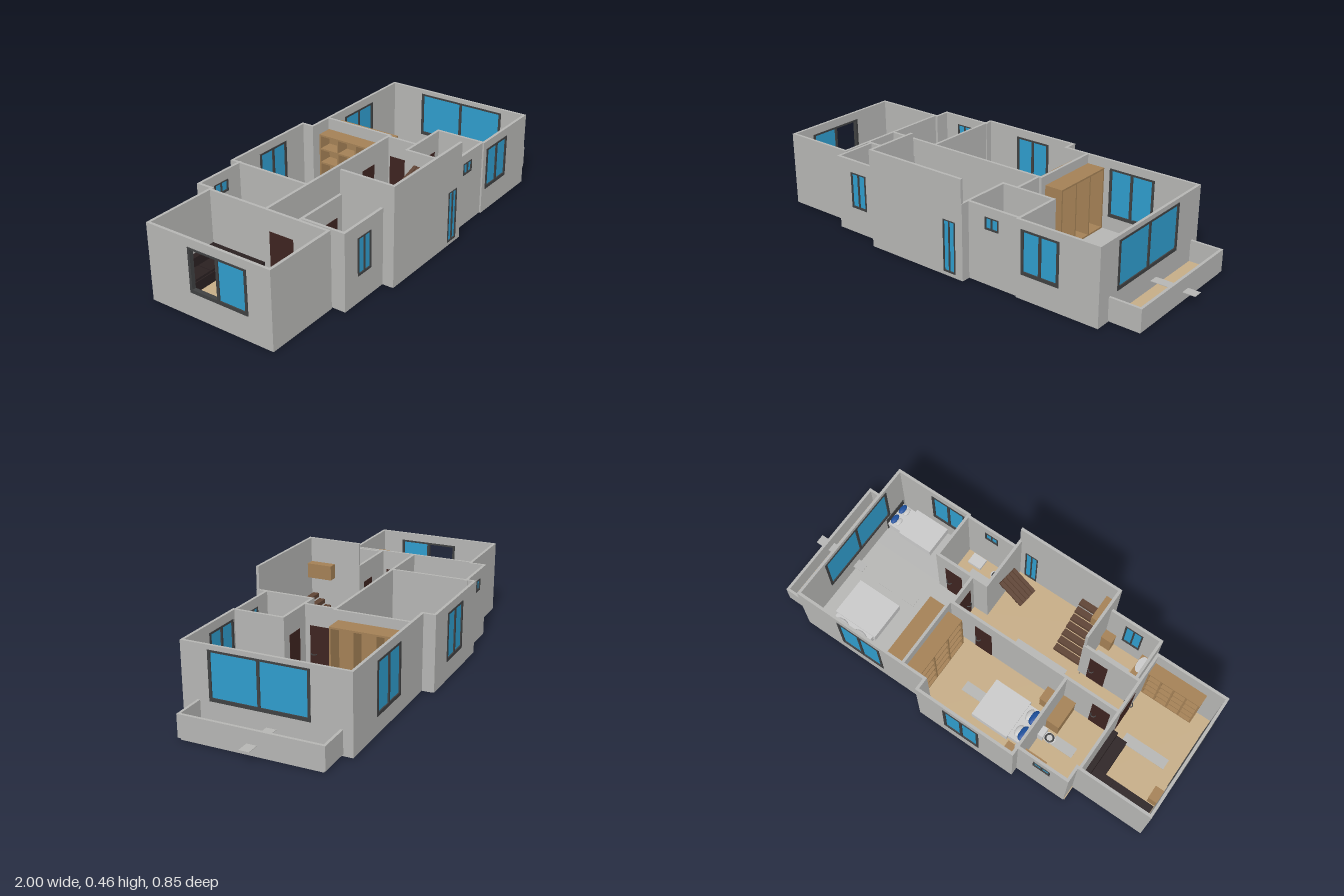
import * as THREE from 'three';

const mat = (name, color, side = THREE.FrontSide) => {
  const m = new THREE.MeshStandardMaterial({ color, side });
  m.name = name;
  return m;
};

export function createModel() {
  const M = {
    wall: mat('wallGrey', 0xb5b5b3),
    tan: mat('floorTan', 0xc5ac86),
    wood: mat('wood', 0xa38055),
    darkWood: mat('darkWood', 0x5e4334),
    door: mat('doorBrown', 0x3e2420),
    sofa: mat('sofaBlack', 0x2a2021),
    frame: mat('frameGrey', 0x3f4041),
    glass: mat('glassBlue', 0x2f9ccc),
    linen: mat('linen', 0xc9c9c9),
    blue: mat('pillowBlue', 0x1c4f9c),
  };
  const root = new THREE.Group();
  root.name = 'house';
  const H = 0.353, T = 0.013, F = 0.014;

  // Box given by its limits on each axis
  const box = (name, m, x0, x1, y0, y1, z0, z1, parent = root) => {
    const b = new THREE.Mesh(new THREE.BoxGeometry(x1 - x0, y1 - y0, z1 - z0), m);
    b.position.set((x0 + x1) / 2, (y0 + y1) / 2, (z0 + z1) / 2);
    b.name = name;
    parent.add(b);
    return b;
  };
  const group = (name, x = 0, y = 0, z = 0, ry = 0) => {
    const g = new THREE.Group();
    g.name = name;
    g.position.set(x, y, z);
    g.rotation.y = ry;
    root.add(g);
    return g;
  };

  // Two-pane window in a wall's local frame
  const windowUnit = (g, a, b, y0, y1, open) => {
    const d = T / 2 + 0.003, f = Math.min(0.012, (b - a) * 0.08), mid = (a + b) / 2;
    box('windowSill', M.frame, a, b, y0, y0 + f * 1.3, -d, d, g);
    box('windowHead', M.frame, a, b, y1 - f * 0.7, y1, -d, d, g);
    for (const c of [a + f / 2, mid, b - f / 2])
      box('windowPost', M.frame, c - f / 2, c + f / 2, y0, y1, -d, d, g);
    if (!open) box('windowPane', M.glass, a + f, mid, y0 + f, y1 - f / 2, -0.004, 0.004, g);
    box('windowPane', M.glass, mid, b - f, y0 + f, y1 - f / 2, -0.004, 0.004, g);
  };
  const doorUnit = (g, a, b, y0, y1) => {
    box('doorPanel', M.door, a, b, y0, y1, -0.008, 0.008, g);
    for (const s of [-1, 1]) {
      const h = new THREE.Mesh(new THREE.TorusGeometry(0.012, 0.0025, 6, 10, Math.PI), M.frame);
      h.rotation.x = s * Math.PI / 2;
      h.position.set(b - 0.018, 0.13, s * 0.008);
      h.name = 'doorHandle';
      g.add(h);
    }
  };

  // Wall along x or z; openings are [from, to, bottom, top, kind] in world units
  const wall = (axis, from, to, at, openings = [], h = H) => {
    const g = axis === 'x' ? group('wall', 0, 0, at) : group('wall', at, 0, 0, -Math.PI / 2);
    const e = T / 2, s = new THREE.Shape();
    s.moveTo(from - e, 0.002).lineTo(to + e, 0.002).lineTo(to + e, h).lineTo(from - e, h).closePath();
    for (const [a, b, y0, y1, kind] of openings) {
      s.holes.push(new THREE.Path().moveTo(a, y0).lineTo(a, y1).lineTo(b, y1).lineTo(b, y0).closePath());
      if (kind === 'door') doorUnit(g, a, b, y0, y1);
      else windowUnit(g, a, b, y0, y1, kind === 'open');
    }
    const geo = new THREE.ExtrudeGeometry(s, { depth: T, bevelEnabled: false });
    geo.translate(0, 0, -e);
    const m = new THREE.Mesh(geo, M.wall);
    m.name = 'wallPanel';
    g.add(m);
  };

  // Floor slabs with their finish
  const floors = [
    [-0.995, -0.645, -0.31, 0.3, 'tan'], [-0.645, -0.38, -0.38, 0.155, 'tan'],
    [-0.63, -0.375, 0.155, 0.36, 'tan'], [-0.38, 0.11, -0.415, 0.14, 'tan'],
    [0.11, 0.225, -0.355, 0.14, 'tan'], [-0.375, 0.14, 0.14, 0.41, 'tan'],
    [0.14, 0.4, 0.14, 0.37, 'tan'], [0.225, 0.787, -0.36, 0.14, 'wall'],
    [0.4, 0.787, 0.14, 0.377, 'wall'], [0.787, 0.935, -0.315, 0.305, 'tan'],
  ];
  for (const [x0, x1, z0, z1, m] of floors) {
    box('floorSlab', M.wall, x0, x1, 0, 0.01, z0, z1);
    box('floorFinish', M[m], x0, x1, 0.01, F, z0, z1);
  }

  // Outer walls
  wall('x', -0.993, -0.648, -0.307);
  wall('x', -0.993, -0.648, 0.298);
  wall('z', -0.307, 0.298, -0.993, [[-0.1, 0.19, 0.115, 0.315, 'open']]);
  wall('x', -0.635, -0.38, -0.378, [[-0.555, -0.47, 0.255, 0.31]]);
  wall('z', -0.378, -0.307, -0.635);
  wall('x', -0.38, 0.105, -0.416, [[-0.215, -0.03, 0.09, 0.315]]);
  wall('z', -0.416, -0.36, 0.105);
  wall('x', 0.105, 0.785, -0.36, [[0.35, 0.58, 0.08, 0.315]]);
  wall('z', -0.36, 0.376, 0.787, [[-0.19, 0.257, 0.115, 0.333]]);
  wall('x', 0.4, 0.787, 0.376, [[0.42, 0.605, 0.115, 0.315]]);
  wall('x', 0.14, 0.4, 0.368, [[0.23, 0.3, 0.255, 0.31]]);
  wall('x', -0.37, 0.133, 0.41, [[0.04, 0.105, 0.02, 0.26]], 0.461);
  wall('x', -0.628, -0.37, 0.358, [[-0.55, -0.46, 0.125, 0.295]]);
  wall('z', 0.155, 0.358, -0.628);

  // Inner walls
  wall('z', -0.307, 0.298, -0.648, [[0.01, 0.13, F, 0.26, 'door']]);
  wall('x', -0.64, 0.225, -0.01, [[-0.62, -0.53, F, 0.26, 'door'], [0, 0.09, F, 0.26, 'door']]);
  wall('z', -0.416, -0.01, -0.385);
  wall('z', -0.36, -0.01, 0.225);
  wall('z', -0.01, 0.14, 0.212, [[0.005, 0.11, F, 0.26, 'door']]);
  wall('x', -0.64, -0.37, 0.155, [[-0.5, -0.41, F, 0.26, 'door']]);
  wall('z', 0.16, 0.41, -0.37, [], 0.461);
  wall('z', 0.14, 0.41, 0.137);
  wall('x', 0.14, 0.4, 0.14, [[0.27, 0.36, F, 0.26, 'door']]);
  wall('z', 0.14, 0.37, 0.4);

  // Balcony parapet
  box('parapetOuter', M.wall, 0.929, 0.942, 0.01, 0.112, -0.325, 0.314);
  for (const z of [-0.325, 0.302]) box('parapetEnd', M.wall, 0.793, 0.94, 0.01, 0.112, z, z + 0.012);

  // Flat plates above each floor
  for (const [x0, x1, z0, z1] of [
    [-0.93, -0.71, -0.03, 0.02], [-0.57, -0.46, -0.22, -0.17], [-0.1, 0.01, -0.24, -0.19],
    [-0.33, -0.06, 0.06, 0.11], [-0.56, -0.39, 0.23, 0.275], [0.21, 0.315, 0.23, 0.275],
    [0.43, 0.63, -0.04, 0.005], [0.73, 1, -0.04, 0.005],
  ]) box('roomPlate', M.wall, x0, x1, 0.05, 0.052, z0, z1);

  // Beds: head at local -z, origin at the middle of the head end
  const bed = (x, z, ry, w, l) => {
    const g = group('bed', x, 0, z, ry);
    box('bedBase', M.linen, -w / 2 + 0.006, w / 2 - 0.006, F, 0.045, 0.006, l - 0.006, g);
    box('headboard', M.frame, -w / 2, w / 2, F, 0.1, -0.002, 0.006, g);
    box('mattress', M.linen, -w / 2 + 0.003, w / 2 - 0.003, 0.045, 0.065, 0.006, l, g);
    box('blanket', M.linen, -w / 2 - 0.008, w / 2 + 0.008, 0.03, 0.071, 0.08, l + 0.004, g);
    for (const s of [-1, 1]) {
      const pillow = (name, m, px, py, pz, r) => {
        const p = new THREE.Mesh(new THREE.SphereGeometry(r, 12, 8), m);
        p.scale.set(1, 0.35, 0.55);
        p.position.set(px, py, pz);
        p.name = name;
        g.add(p);
      };
      pillow('bluePillow', M.blue, s * w * 0.24, 0.083, 0.026, w * 0.21);
      pillow('whitePillow', M.linen, s * w * 0.24, 0.08, 0.05, w * 0.17);
    }
  };
  bed(-0.365, -0.212, Math.PI / 2, 0.18, 0.265);
  bed(0.59, -0.35, 0, 0.21, 0.265);
  bed(0.783, 0.292, -Math.PI / 2, 0.13, 0.255);

  // Open shelving: back on one side, dividers and shelves between (along z)
  const shelves = (x0, x1, z0, z1, h, backLow, bays, rows) => {
    const t = 0.008;
    box('shelfBack', M.wood, backLow ? x0 : x1 - t, backLow ? x0 + t : x1, F, h, z0, z1);
    for (let i = 0; i <= bays; i++) {
      const z = z0 + (z1 - z0 - t) * i / bays;
      box('shelfSide', M.wood, x0, x1, F, h, z, z + t);
    }
    for (let j = 0; j <= rows; j++) {
      const y = F + (h - F - t) * j / rows;
      box('shelf', M.wood, x0, x1, y, y + t, z0, z1);
    }
  };
  shelves(0.232, 0.32, -0.352, -0.03, 0.31, true, 3, 1);
  shelves(0.142, 0.217, -0.35, -0.04, 0.3, false, 3, 4);

  // Tall living-room bookcase against the front wall
  box('bookcaseBack', M.wood, -0.915, -0.656, F, 0.27, 0.283, 0.291);
  for (let i = 0; i < 5; i++) {
    const x = -0.915 + 0.0628 * i, y = F + 0.062 * i;
    box('bookcaseSide', M.wood, x, x + 0.008, F, 0.27, 0.23, 0.285);
    box('bookcaseShelf', M.wood, -0.915, -0.656, y, y + 0.008, 0.23, 0.285);
  }

  // Cabinets and bedside tables
  for (const [x0, x1, y1, z0, z1] of [
    [-0.378, -0.31, 0.12, -0.409, -0.33], [-0.37, -0.31, 0.1, -0.085, -0.02],
    [-0.5, -0.392, 0.12, -0.371, -0.315], [-0.455, -0.392, 0.12, -0.155, -0.02],
    [-0.986, -0.945, 0.08, -0.18, -0.12], [-0.621, -0.575, 0.1, 0.165, 0.35],
    [-0.43, -0.378, 0.12, 0.31, 0.35],
  ]) {
    box('cabinet', M.wood, x0, x1, F, y1, z0, z1);
    box('cabinetTop', M.wood, x0 - 0.002, x1 + 0.002, y1, y1 + 0.005, z0 - 0.002, z1 + 0.002);
  }
  box('wallCabinet', M.wood, -0.363, -0.32, 0.275, 0.345, 0.28, 0.403);

  // Corner sofa
  const sofa = group('sofa');
  box('seatLong', M.sofa, -0.984, -0.656, F, 0.06, -0.298, -0.195, sofa);
  box('seatShort', M.sofa, -0.735, -0.656, F, 0.06, -0.195, -0.02, sofa);
  box('backLong', M.sofa, -0.984, -0.656, 0.06, 0.11, -0.3, -0.272, sofa);
  box('backShort', M.sofa, -0.682, -0.656, 0.06, 0.11, -0.272, -0.02, sofa);
  for (let i = 0; i < 3; i++)
    box('cushion', M.sofa, -0.975 + i * 0.097, -0.882 + i * 0.097, 0.06, 0.07, -0.27, -0.2, sofa);

  // Staircase and the tilted slatted flight beside it
  for (let i = 0; i < 7; i++)
    box('stairStep', M.darkWood, -0.355, -0.215, F + 0.026 * i, 0.034 + 0.026 * i, 0.17 + 0.032 * i, 0.2 + 0.032 * i);
  const flight = group('slattedFlight', 0.04, 0.27, 0.24, -0.12);
  flight.rotation.z = 0.45;
  for (let i = 0; i < 5; i++)
    box('slat', M.darkWood, -0.07, 0.07, -0.006, 0.006, -0.05 + i * 0.0205, -0.033 + i * 0.0205, flight);
  for (const x of [-0.05, 0.04]) box('slatRail', M.door, x, x + 0.01, -0.012, -0.006, -0.05, 0.049, flight);

  // Bathroom fittings
  const toilet = (x, z, ry) => {
    const g = group('toilet', x, 0, z, ry);
    box('cistern', M.linen, -0.013, 0.013, 0.03, 0.09, -0.024, 0.024, g);
    const bowl = new THREE.Mesh(new THREE.CylinderGeometry(0.024, 0.014, 0.045, 16), M.linen);
    bowl.scale.x = 1.3;
    bowl.position.set(0.035, 0.036, 0);
    bowl.name = 'bowl';
    const seat = new THREE.Mesh(new THREE.TorusGeometry(0.018, 0.004, 6, 16), M.frame);
    seat.rotation.x = Math.PI / 2;
    seat.position.set(0.037, 0.06, 0);
    seat.name = 'seat';
    g.add(bowl, seat);
  };
  toilet(-0.405, -0.2, Math.PI);
  toilet(0.163, 0.305, 0);
  const basin = new THREE.Mesh(new THREE.CylinderGeometry(0.022, 0.015, 0.02, 16), M.linen);
  basin.scale.z = 1.9;
  basin.position.set(-0.597, 0.115, 0.3);
  basin.name = 'basin';
  root.add(basin);
  box('showerTray', M.linen, 0.29, 0.36, F, 0.03, 0.3, 0.355);

  return root;
}
